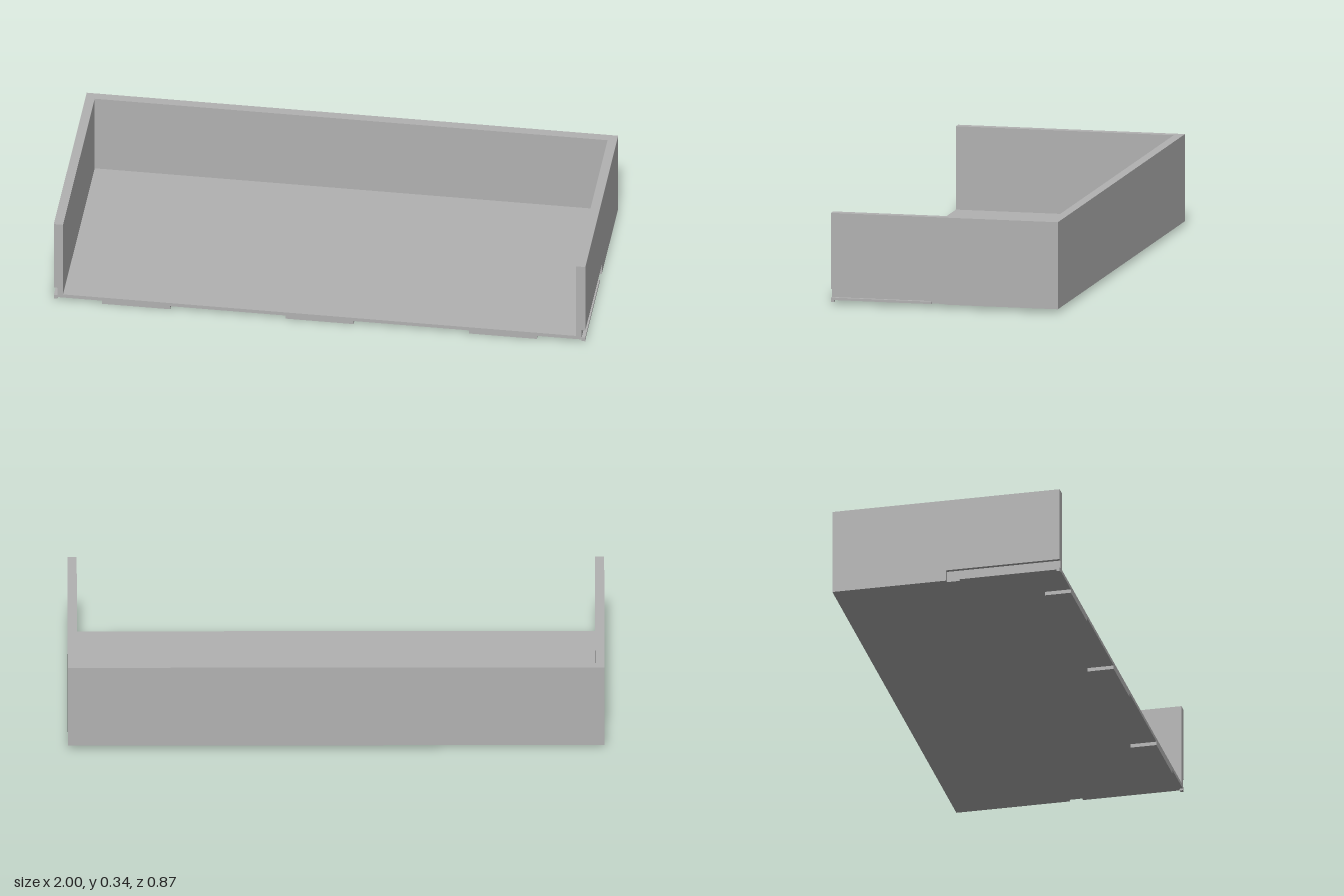
import * as THREE from 'three';

const grey = new THREE.MeshStandardMaterial({ color: 0xb2b2b2 });
grey.name = 'plain grey';

export function createModel() {
  const group = new THREE.Group();
  const D = 0.435, TOP = 0.345, BASE = 0.016, FLOOR = 0.03, T = 0.035, SLOT = 0.014;

  // Box given by its minimum and maximum corners
  function box(name, x0, x1, y0, y1, z0, z1) {
    const mesh = new THREE.Mesh(new THREE.BoxGeometry(x1 - x0, y1 - y0, z1 - z0), grey);
    mesh.position.set((x0 + x1) / 2, (y0 + y1) / 2, (z0 + z1) / 2);
    mesh.name = name;
    group.add(mesh);
  }

  // Tray floor and back wall, between the side walls
  box('floor', -1 + T, 1 - T, BASE, FLOOR, -D + T, D);
  box('backWall', -1 + T, 1 - T, BASE, TOP, -D, -D + T);

  // Outer skin of a side wall, with a slot above a slim rail at the front foot
  const outline = new THREE.Shape([
    [-D, BASE], [0, BASE], [0, 0.058], [D, 0.058], [D, TOP], [-D, TOP],
  ].map(([z, y]) => new THREE.Vector2(-z, y)));
  const skin = new THREE.ExtrudeGeometry(outline, { depth: SLOT, bevelEnabled: false });
  skin.rotateY(Math.PI / 2);

  for (const [side, s] of [['left', 1], ['right', -1]]) {
    const span = (a, b) => (s > 0 ? [a, b] : [-b, -a]);
    box(side + 'InnerWall', ...span(1 - T, 1 - SLOT), BASE, TOP, -D, D);
    const outer = new THREE.Mesh(skin, grey);
    outer.position.x = s > 0 ? 1 - SLOT : -1;
    outer.name = side + 'OuterWall';
    group.add(outer);
    box(side + 'Rail', ...span(1 - SLOT, 1), BASE, 0.025, 0.05, D);
    // Small catch at the rail tip
    box(side + 'RailCatch', ...span(1 - SLOT, 1), 0.009, BASE, 0.423, D);
  }

  // Three tabs under the front edge
  for (const x of [-0.69, 0, 0.69]) {
    box('frontTab', x - 0.128, x + 0.128, 0.002, BASE, 0.335, D);
  }

  return group;
}
